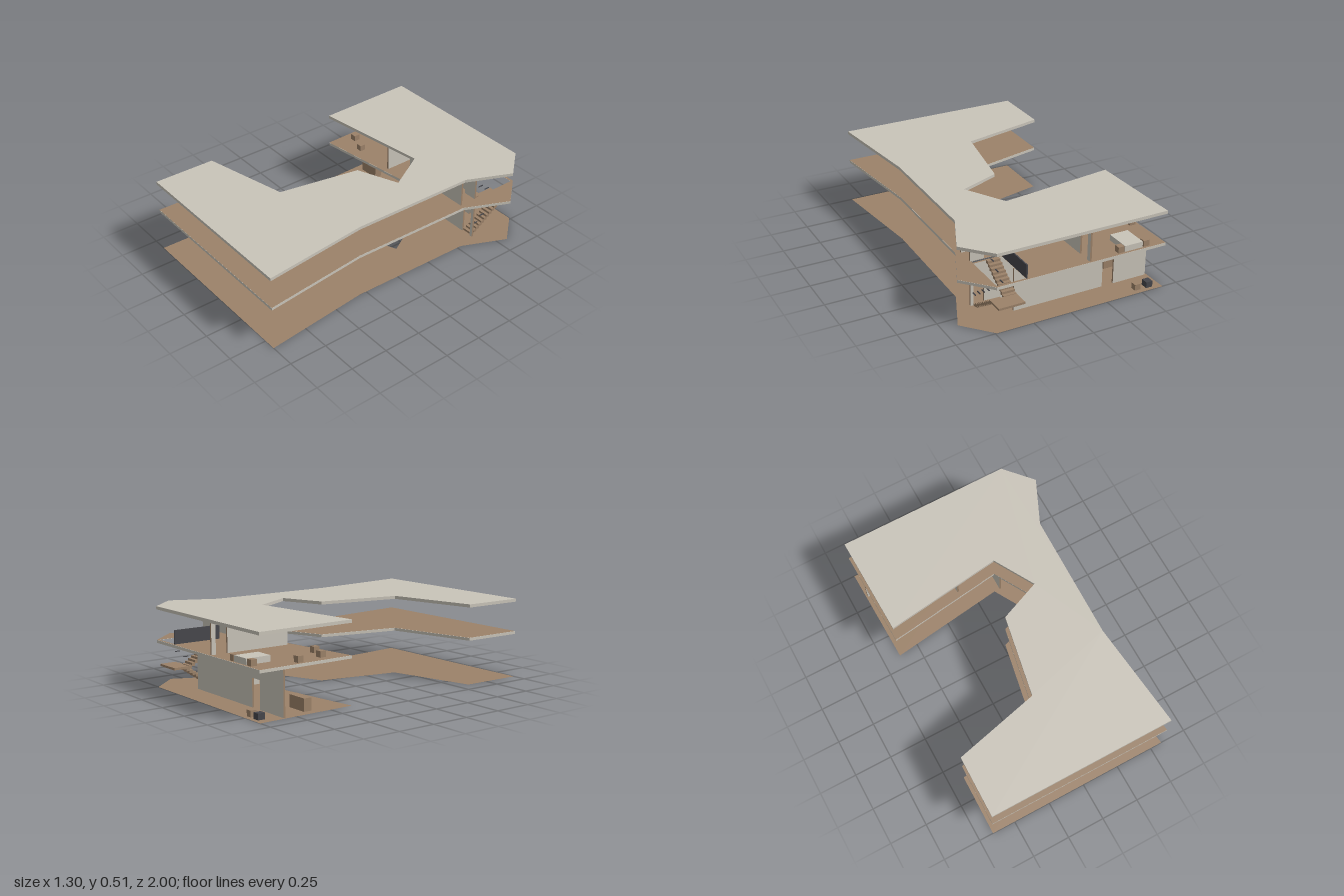
import * as THREE from 'three';

const concrete = new THREE.MeshStandardMaterial({ name: 'pale concrete', color: 0xc9c4b9 });
const timber = new THREE.MeshStandardMaterial({ name: 'brown timber', color: 0x9c8269, side: THREE.DoubleSide });
const dark = new THREE.MeshStandardMaterial({ name: 'dark metal', color: 0x46464b });

const WALL = 0.012;
const FLOOR1 = 0.302;   // top of the upper floor slab
const CEIL0 = 0.283;    // underside of the upper floor slab
const CEIL1 = 0.495;    // underside of the roof slab

// Plan outline shared by ground, upper floor and roof, as [x, z]
const outline = [
  [-0.65, -1], [0.49, -1], [0.65, -0.82], [0.52, -0.53], [0.505, 0.3], [0.58, 1], [-0.655, 1],
  [-0.65, 0.595], [-0.085, 0.46], [0.015, -0.07], [0.285, -0.18], [0.135, -0.445], [-0.635, -0.34],
];
const stairwell = [[0.298, -0.985], [0.485, -0.985], [0.485, -0.668], [0.298, -0.668]];

const toPoints = (list) => list.map(([x, z]) => new THREE.Vector2(x, -z));

function planShape(hole) {
  const shape = new THREE.Shape(toPoints(outline));
  if (hole) shape.holes.push(new THREE.Path(toPoints(hole)));
  return shape;
}

function createModel() {
  const model = new THREE.Group();
  model.name = 'house';

  const add = (name, geometry, material, parent = model) => {
    const mesh = new THREE.Mesh(geometry, material);
    mesh.name = name;
    parent.add(mesh);
    return mesh;
  };

  // Box given by its min and max corners
  const box = (name, [x0, y0, z0], [x1, y1, z1], material, parent) => {
    const g = new THREE.BoxGeometry(x1 - x0, y1 - y0, z1 - z0);
    g.translate((x0 + x1) / 2, (y0 + y1) / 2, (z0 + z1) / 2);
    return add(name, g, material, parent);
  };

  const slab = (name, y0, y1, hole) => {
    const g = new THREE.ExtrudeGeometry(planShape(hole), { depth: y1 - y0, bevelEnabled: false });
    add(name, g.rotateX(-Math.PI / 2).translate(0, y0, 0), concrete);
  };

  const flooring = (name, y, hole) => {
    const g = new THREE.ShapeGeometry(planShape(hole));
    add(name, g.rotateX(-Math.PI / 2).translate(0, y, 0), timber);
  };

  // Wall along x or z with concrete faces, timber ends and an optional doorway
  const wall = (name, axis, at, from, to, y0, y1, door) => {
    const group = new THREE.Group();
    group.name = name;
    model.add(group);
    const h = WALL / 2;
    const mats = axis === 'x'
      ? [timber, timber, timber, timber, concrete, concrete]
      : [concrete, concrete, timber, timber, timber, timber];
    const piece = (part, a, b, low, high) => (axis === 'x'
      ? box(part, [a, low, at - h], [b, high, at + h], mats, group)
      : box(part, [at - h, low, a], [at + h, high, b], mats, group));
    if (!door) {
      piece('wallPanel', from, to, y0, y1);
      return;
    }
    piece('wallPanel', from, door[0], y0, y1);
    piece('lintel', door[0], door[1], y0 + 0.178, y1);
    piece('wallPanel', door[1], to, y0, y1);
  };

  // Floors and roof
  flooring('groundFloor', 0);
  slab('upperSlab', CEIL0, FLOOR1 - 0.001, stairwell);
  flooring('upperFlooring', FLOOR1, stairwell);
  slab('roofSlab', CEIL1, 0.515);

  // Ground floor walls
  wall('backWall', 'x', -0.825, -0.635, 0.29, 0.001, CEIL0, [-0.4, -0.32]);
  wall('stairWall', 'x', -0.66, 0.18, 0.49, 0.001, CEIL0, [0.4, 0.47]);
  wall('sideWall', 'z', 0.18, -0.66, -0.445, 0.001, CEIL0);

  // Upper floor walls
  wall('bedroomWall', 'z', -0.13, -0.99, -0.445, FLOOR1, CEIL1, [-0.96, -0.88]);
  wall('corridorWall', 'x', -0.54, -0.01, 0.49, FLOOR1, CEIL1);
  wall('landingWall', 'x', -0.66, 0.4, 0.49, FLOOR1, CEIL1);

  // Staircase: two flights joined by a half landing
  const stairs = new THREE.Group();
  stairs.name = 'staircase';
  model.add(stairs);
  const steps = 10;
  const run = 0.022;
  const rise = 0.0145;
  for (let i = 0; i < steps; i++) {
    const z = -0.666 - i * run;
    const y = i * rise;
    box('lowerStep', [0.4, Math.max(0.001, y - 0.006), z - run - 0.004], [0.47, y + rise, z], timber, stairs);
    const z2 = -0.886 + i * run;
    const y2 = 0.14 + i * rise;
    box('upperStep', [0.302, y2 - 0.006, z2], [0.385, y2 + rise, z2 + run], timber, stairs);
  }
  box('halfLanding', [0.302, 0.137, -0.99], [0.472, 0.151, -0.884], timber, stairs);

  // Short handrail bars stepping up beside each flight
  for (let i = 0; i < 4; i++) {
    const z = -0.69 - i * 0.058;
    const y = 0.09 + i * 0.041;
    box('lowerRailBar', [0.474, y, z - 0.018], [0.48, y + 0.005, z + 0.018], dark, stairs);
    const y2 = 0.365 - i * 0.041;
    box('upperRailBar', [0.386, y2, z - 0.018], [0.392, y2 + 0.005, z + 0.018], dark, stairs);
  }

  // Solid guard beside the stairwell
  box('stairGuard', [0.289, FLOOR1, -0.99], [0.297, 0.39, -0.667], dark);

  // Ground floor furniture
  box('sideboard', [-0.59, 0.001, -0.655], [-0.445, 0.08, -0.6], timber);
  box('outdoorStool', [-0.51, 0.001, -0.97], [-0.47, 0.04, -0.93], timber);
  box('outdoorPlanter', [-0.592, 0.001, -0.975], [-0.548, 0.04, -0.927], dark);

  // Upper floor furniture
  box('bed', [-0.495, FLOOR1, -0.985], [-0.37, 0.34, -0.82], concrete);
  const cubes = [
    ['nightstand', -0.523, -0.965], ['nightstand', -0.345, -0.965],
    ['stool', -0.602, -0.7], ['stool', -0.56, -0.51], ['stool', -0.433, -0.46],
  ];
  for (const [name, x, z] of cubes) {
    box(name, [x - 0.02, FLOOR1, z - 0.02], [x + 0.02, 0.341, z + 0.02], timber);
  }

  return model;
}

export { createModel };
